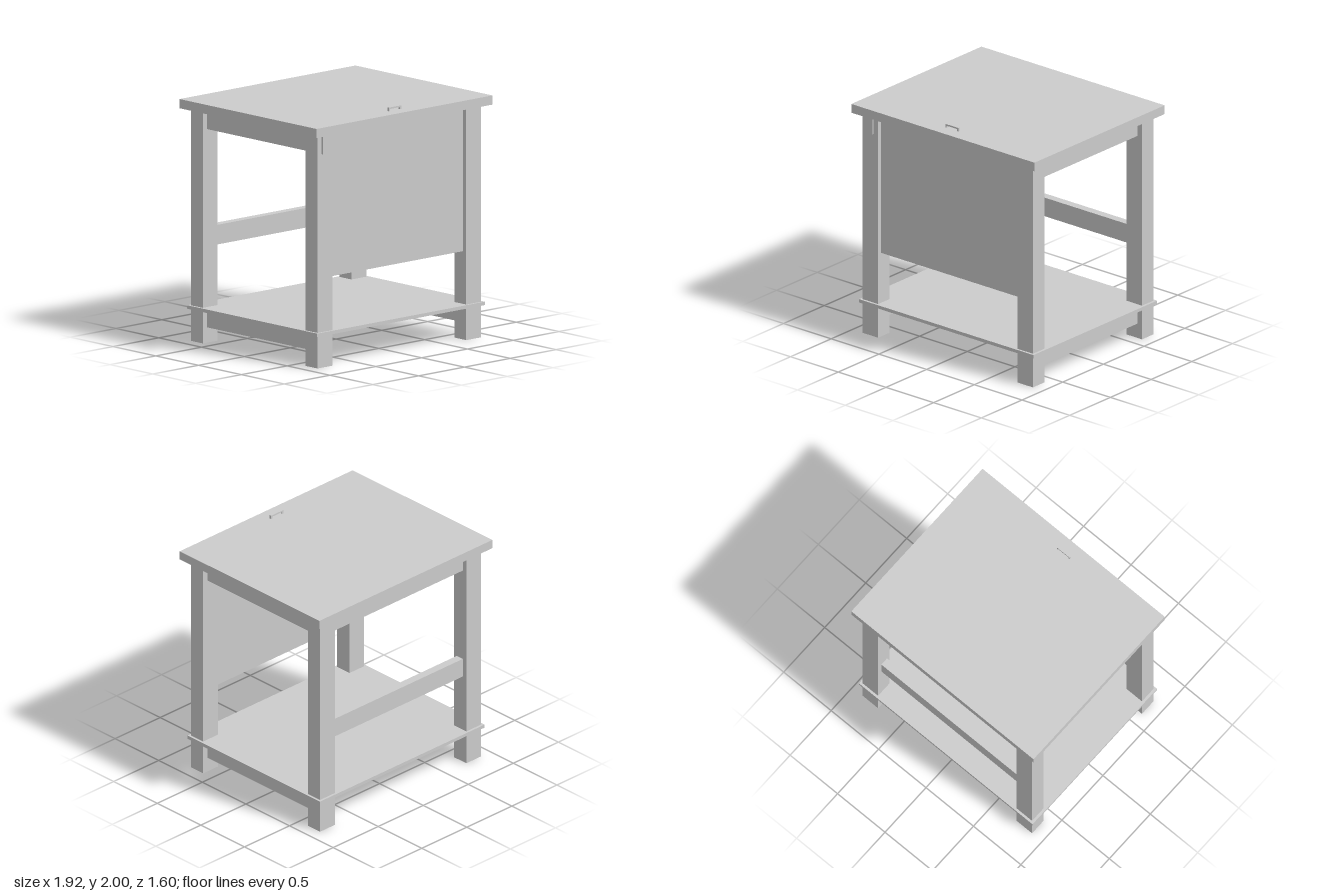
import * as THREE from 'three';

const material = new THREE.MeshStandardMaterial({ color: 0xcccccc, flatShading: true });

// Box given by its extents on each axis
function box(name, [x0, x1], [y0, y1], [z0, z1]) {
  const mesh = new THREE.Mesh(new THREE.BoxGeometry(x1 - x0, y1 - y0, z1 - z0), material);
  mesh.position.set((x0 + x1) / 2, (y0 + y1) / 2, (z0 + z1) / 2);
  mesh.name = name;
  return mesh;
}

// Extent mirrored to the given side
const side = (s, a, b) => (s > 0 ? [a, b] : [-b, -a]);

export function createModel() {
  const table = new THREE.Group();
  table.name = 'workTable';

  const underTop = 1.895;
  const underShelf = 0.262;
  const railBottom = 1.74;

  // Table top and lower shelf
  table.add(box('tableTop', [-0.96, 0.96], [underTop, 1.97], [-0.8, 0.8]));
  table.add(box('shelf', [-0.915, 0.915], [underShelf, 0.29], [-0.76, 0.76]));

  for (const s of [1, -1]) {
    const name = s > 0 ? 'left' : 'right';

    // Front and back legs
    table.add(box(name + 'FrontLeg', side(s, 0.73, 0.893), [0, underTop], [0.6, 0.74]));
    table.add(box(name + 'BackLeg', side(s, 0.73, 0.893), [0, underTop], [-0.74, -0.6]));

    // Side rails under the top and shelf; the right top rail passes through its front leg
    const railFront = s > 0 ? 0.6 : 0.753;
    table.add(box(name + 'TopRail', side(s, 0.78, 0.848), [railBottom, underTop], [-0.6, railFront]));
    table.add(box(name + 'ShelfRail', side(s, 0.78, 0.848), [0.125, underShelf], [-0.6, 0.6]));
  }

  // Back rails
  table.add(box('backTopRail', [-0.73, 0.73], [railBottom, underTop], [-0.7, -0.63]));
  table.add(box('backMiddleRail', [-0.73, 0.73], [0.775, 0.935], [-0.7, -0.63]));

  // Front panel
  table.add(box('frontPanel', [-0.73, 0.73], [0.72, underTop], [0.635, 0.705]));

  // Handle on the top
  const handle = new THREE.Group();
  handle.name = 'handle';
  const depth = [0.674, 0.69];
  handle.add(box('handleBar', [-0.068, 0.068], [1.987, 2], depth));
  for (const s of [1, -1]) handle.add(box('handlePost', side(s, 0.055, 0.068), [1.97, 1.987], depth));
  table.add(handle);

  return table;
}
